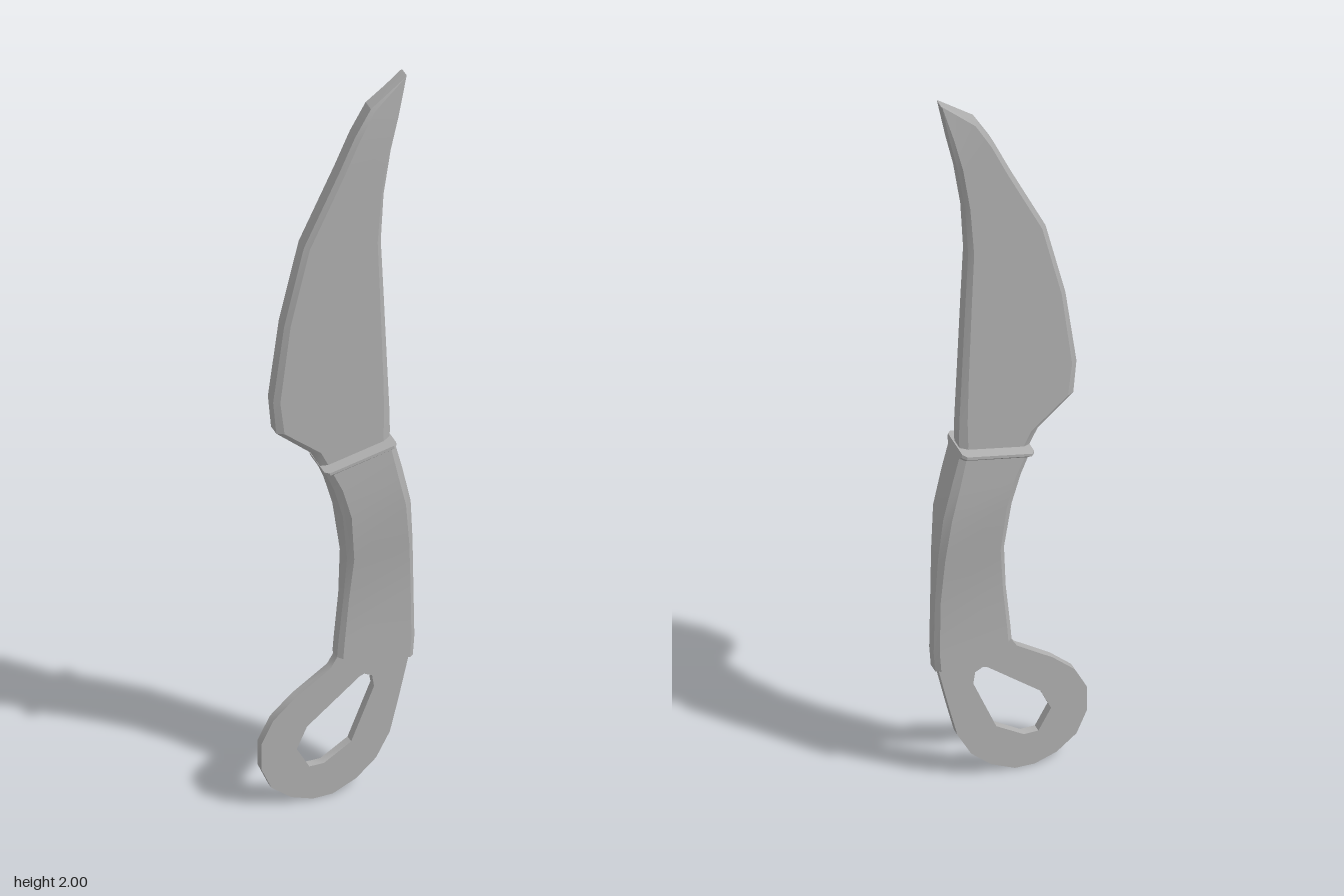
import * as THREE from 'three';
import { toCreasedNormals } from 'three/addons/utils/BufferGeometryUtils.js';

const steel = new THREE.MeshStandardMaterial({ color: 0xb0b0b0 });
steel.name = 'grey steel';

// Loft of bevelled sections; station: [leftX, leftY, rightX, rightY, faceHalf, edgeHalf, inset]
function loft(stations) {
  const rings = stations.map(([lx, ly, rx, ry, f, e, s]) =>
    [[0, -e], [0, e], [s, f], [1 - s, f], [1, e], [1, -e], [1 - s, -f], [s, -f]]
      .map(([t, z]) => [lx + (rx - lx) * t, ly + (ry - ly) * t, z]));
  const pos = [];
  const tri = (...pts) => pts.forEach((p) => pos.push(...p));
  for (let i = 0; i < rings.length - 1; i++) {
    for (let j = 0; j < 8; j++) {
      const k = (j + 1) % 8;
      const a = rings[i][j], b = rings[i][k], c = rings[i + 1][k], d = rings[i + 1][j];
      tri(a, b, c);
      tri(a, c, d);
    }
  }
  const low = rings[0], top = rings[rings.length - 1];
  for (let j = 1; j < 7; j++) {
    tri(low[0], low[j + 1], low[j]);
    tri(top[0], top[j], top[j + 1]);
  }
  const g = new THREE.BufferGeometry();
  g.setAttribute('position', new THREE.Float32BufferAttribute(pos, 3));
  return toCreasedNormals(g, 0.35);
}

function addPart(group, name, geometry) {
  const mesh = new THREE.Mesh(geometry, steel);
  mesh.name = name;
  group.add(mesh);
}

export function createModel() {
  const group = new THREE.Group();
  group.name = 'curvedKnife';

  // Curved blade, bevelled along the belly and the inner edge
  addPart(group, 'blade', loft([
    [-0.04, 0.93, 0.125, 0.97, 0.025, 0.016, 0.1],
    [-0.07, 0.99, 0.128, 1.0, 0.025, 0.016, 0.1],
    [-0.16, 1.07, 0.127, 1.06, 0.025, 0.016, 0.06],
    [-0.168, 1.16, 0.122, 1.17, 0.025, 0.016, 0.05],
    [-0.14, 1.37, 0.112, 1.4, 0.025, 0.016, 0.05],
    [-0.09, 1.58, 0.105, 1.55, 0.025, 0.016, 0.06],
    [0, 1.77, 0.112, 1.68, 0.025, 0.016, 0.08],
    [0.04, 1.86, 0.13, 1.8, 0.025, 0.016, 0.1],
    [0.08, 1.93, 0.15, 1.89, 0.022, 0.016, 0.12],
    [0.162, 1.993, 0.172, 2.0, 0.016, 0.013, 0.2],
  ]));

  // Grip, swelling towards the blade
  addPart(group, 'grip', loft([
    [-0.005, 0.39, 0.187, 0.345, 0.024, 0.014, 0.06],
    [-0.002, 0.43, 0.191, 0.4, 0.024, 0.014, 0.06],
    [0.01, 0.55, 0.188, 0.55, 0.024, 0.015, 0.06],
    [0.017, 0.67, 0.183, 0.68, 0.034, 0.022, 0.08],
    [0.002, 0.8, 0.174, 0.8, 0.045, 0.032, 0.1],
    [-0.02, 0.88, 0.152, 0.9, 0.045, 0.034, 0.1],
    [-0.042, 0.935, 0.134, 0.973, 0.044, 0.034, 0.08],
  ]));

  // Thin flared collar at the top of the grip
  addPart(group, 'collar', loft([
    [-0.043, 0.932, 0.135, 0.97, 0.045, 0.034, 0.06],
    [-0.049, 0.941, 0.133, 0.979, 0.056, 0.045, 0.05],
    [-0.05, 0.948, 0.131, 0.987, 0.056, 0.045, 0.05],
  ]));

  // Flat finger ring with an angular hole
  const v = ([x, y]) => new THREE.Vector2(x, y);
  const ring = new THREE.Shape([
    [0.0, 0.41], [-0.005, 0.385], [-0.02, 0.36], [-0.11, 0.3], [-0.165, 0.25],
    [-0.196, 0.19], [-0.196, 0.12], [-0.17, 0.06], [-0.12, 0.02], [-0.065, 0.001],
    [-0.015, 0.002], [0.045, 0.03], [0.095, 0.075], [0.13, 0.14], [0.152, 0.23],
    [0.178, 0.345], [0.178, 0.38],
  ].map(v));
  ring.holes.push(new THREE.Path([
    [0.053, 0.317], [0.065, 0.322], [0.085, 0.312], [0.09, 0.28], [0.032, 0.138],
    [-0.037, 0.095], [-0.074, 0.095], [-0.106, 0.153], [-0.08, 0.21],
  ].map(v)));
  const ringGeometry = new THREE.ExtrudeGeometry(ring, { depth: 0.022, bevelEnabled: false });
  ringGeometry.translate(0, 0, -0.011);
  addPart(group, 'fingerRing', toCreasedNormals(ringGeometry, 0.6));

  return group;
}
